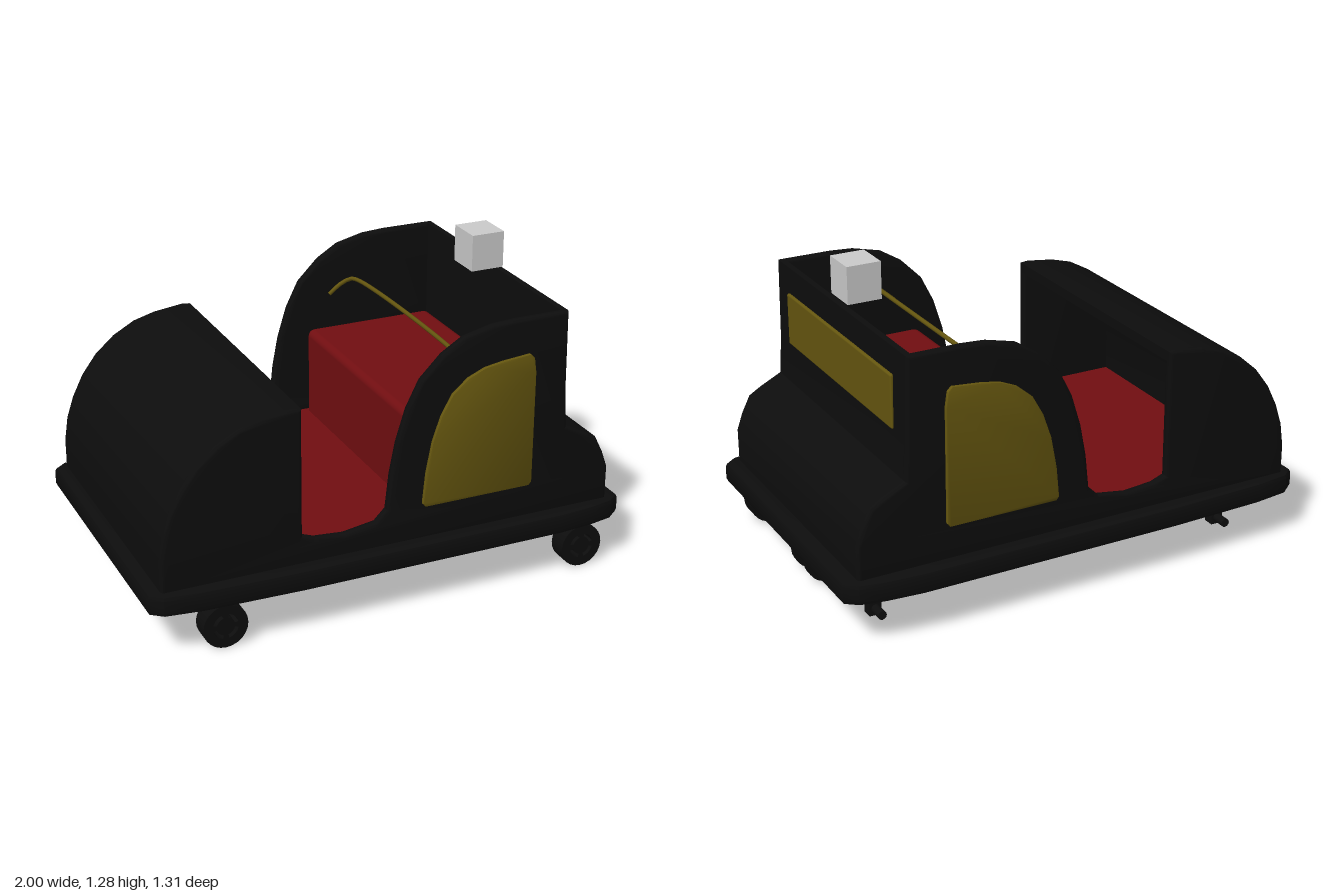
import * as THREE from 'three';
import { toCreasedNormals } from 'three/addons/utils/BufferGeometryUtils.js';
import { RoundedBoxGeometry } from 'three/addons/geometries/RoundedBoxGeometry.js';

const material = (name, color) => {
  const m = new THREE.MeshStandardMaterial({ color });
  m.name = name;
  return m;
};
const shapeOf = (pts) => new THREE.Shape(pts.map(([x, y]) => new THREE.Vector2(x, y)));

// Extrude along z, centred on zMid, with an optional rounded edge kept inside the outline
function slab(shape, zMid, width, bevel = 0, segments = 3) {
  const depth = width - 2 * bevel;
  const g = new THREE.ExtrudeGeometry(shape, {
    depth, curveSegments: 12, bevelEnabled: bevel > 0, bevelThickness: bevel,
    bevelSize: bevel, bevelOffset: -bevel, bevelSegments: segments,
  });
  g.translate(0, 0, zMid - depth / 2);
  return toCreasedNormals(g, 0.6);
}

export function createModel() {
  const root = new THREE.Group();
  root.name = 'rideCar';
  const black = material('black paint', 0x0d0d0d);
  const red = material('red upholstery', 0x720e11);
  const yellow = material('dark yellow panel', 0x65560f);
  const grey = material('light grey', 0xcccccc);

  const add = (name, geometry, mat, parent = root) => {
    const mesh = new THREE.Mesh(geometry, mat);
    mesh.name = name;
    parent.add(mesh);
    return mesh;
  };

  // Bumper plate around the base
  const half = [[-1, 0.58], [-0.95, 0.62], [-0.8, 0.64], [-0.4, 0.653], [0.7, 0.653], [0.85, 0.64], [0.95, 0.62], [1, 0.58]];
  const outline = [...half, ...half.map(([x, z]) => [x, -z]).reverse()].reverse();
  const bumper = slab(shapeOf(outline), 0, 0.088, 0.018, 2);
  bumper.rotateX(-Math.PI / 2).translate(0, 0.24, 0);
  add('bumper', bumper, black);

  // Body profiles, seen from the front
  const nose = [[-0.95, 0.27], [-0.95, 0.4], [-0.935, 0.5], [-0.905, 0.59], [-0.86, 0.68], [-0.8, 0.76],
    [-0.72, 0.83], [-0.63, 0.88], [-0.54, 0.905], [-0.42, 0.92], [-0.385, 0.917]];
  const sill = [[-0.385, 0.395], [-0.33, 0.375], [-0.21, 0.365], [-0.08, 0.385], [-0.035, 0.43]];
  const cab = [[-0.02, 0.57], [0.005, 0.7], [0.045, 0.83], [0.1, 0.94], [0.19, 1.03], [0.28, 1.085],
    [0.4, 1.114], [0.5, 1.12]];
  const tail = [[0.725, 1.12], [0.73, 0.8], [0.74, 0.635], [0.83, 0.59], [0.88, 0.56], [0.915, 0.49], [0.94, 0.42], [0.94, 0.27]];

  // Side walls
  for (const s of [1, -1]) {
    add(s > 0 ? 'frontSideWall' : 'backSideWall',
      slab(shapeOf([...nose, ...sill, ...cab, ...tail]), s * 0.57, 0.04, 0.015), black);
  }

  // Hollow nose hood and rear wall with its sloping tail
  const noseInner = [[-0.385, 0.875], [-0.53, 0.86], [-0.65, 0.815], [-0.74, 0.73], [-0.79, 0.62], [-0.81, 0.5], [-0.81, 0.27]];
  add('noseHood', slab(shapeOf([...nose, ...noseInner]), 0, 1.15), black);
  add('rearWall', slab(shapeOf([[0.7, 0.27], [0.7, 1.12], ...tail]), 0, 1.15), black);

  // Interior
  const floor = new THREE.BoxGeometry(1.53, 0.08, 1.1);
  floor.translate(-0.055, 0.315, 0);
  add('floor', floor, red);
  const seat = new RoundedBoxGeometry(0.575, 0.42, 1.1, 3, 0.03);
  seat.translate(0.415, 0.52, 0);
  add('benchSeat', seat, red);

  // Lap bar bent at both ends
  const barEnd = [[0.235, 0.87, 0.55], [0.28, 0.91, 0.54], [0.315, 0.94, 0.51], [0.327, 0.95, 0.45]];
  const barPoints = [...barEnd, ...barEnd.map(([x, y, z]) => [x, y, -z]).reverse()];
  const barCurve = new THREE.CatmullRomCurve3(barPoints.map((p) => new THREE.Vector3(...p)));
  add('lapBar', new THREE.TubeGeometry(barCurve, 40, 0.009, 8), yellow);

  // Side panels and rear panel
  const panel = shapeOf([[0.12, 0.42], [0.108, 0.435], [0.12, 0.56], [0.145, 0.69], [0.18, 0.79], [0.225, 0.87],
    [0.29, 0.925], [0.36, 0.955], [0.44, 0.968], [0.555, 0.978], [0.573, 0.96], [0.582, 0.9], [0.582, 0.435], [0.57, 0.42]]);
  for (const s of [1, -1]) {
    add(s > 0 ? 'frontSidePanel' : 'backSidePanel', slab(panel, s * 0.598, 0.018, 0.005, 2), yellow);
  }
  const rearPanel = new RoundedBoxGeometry(0.02, 0.215, 0.95, 2, 0.008);
  rearPanel.translate(0.728, 0.905, 0);
  add('rearPanel', rearPanel, yellow);

  // Small block floating above the rear wall
  const block = new THREE.BoxGeometry(0.14, 0.15, 0.15);
  block.translate(0.64, 1.21, 0.015);
  add('topBlock', block, grey);

  // Wheel disc with four arc-shaped slots
  const disc = new THREE.Shape();
  disc.absarc(0, 0, 0.09, 0, Math.PI * 2, false);
  for (let i = 0; i < 4; i++) {
    const a = (i * Math.PI) / 2 + 0.25, b = a + Math.PI / 2 - 0.5;
    const slot = new THREE.Path();
    slot.absarc(0, 0, 0.052, a, b, false);
    slot.absarc(0, 0, 0.037, b, a, true);
    slot.closePath();
    disc.holes.push(slot);
  }

  // Two axles, each with one wide wheel, two thin wheels and three hangers
  for (const [name, x] of [['noseAxle', -0.705], ['tailAxle', 0.832]]) {
    const axle = new THREE.Group();
    axle.name = name;
    axle.position.set(x, 0.092, 0);
    root.add(axle);
    const rod = new THREE.CylinderGeometry(0.018, 0.018, 1.11, 12);
    rod.rotateX(Math.PI / 2).translate(0, 0.003, 0);
    add('axleRod', rod, black, axle);
    for (const [z, w] of [[0.56, 0.08], [0.08, 0.036], [-0.043, 0.036]]) {
      add('wheel', slab(disc, z, w), black, axle);
    }
    for (const z of [0.433, 0.02, -0.472]) {
      const hanger = new THREE.BoxGeometry(0.05, 0.14, 0.046);
      hanger.translate(0, 0.045, z);
      add('hanger', hanger, black, axle);
    }
  }
  return root;
}
